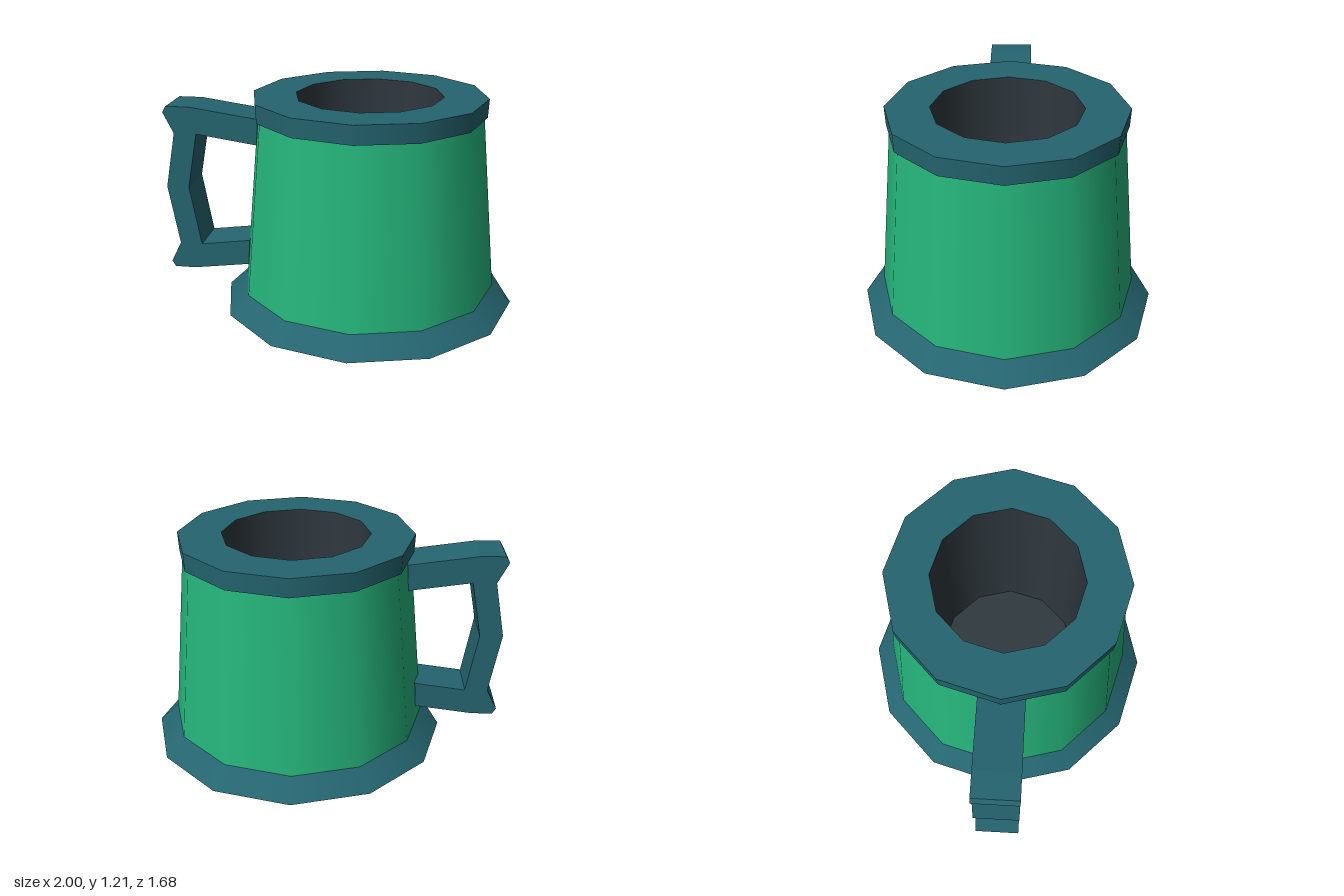
import * as THREE from 'three';

const SIDES = 12;
const CENTRE_X = 0.16;

export function createModel() {
  const group = new THREE.Group();
  const material = (name, color) => {
    const m = new THREE.MeshStandardMaterial({ color });
    m.name = name;
    return m;
  };
  const green = material('green', 0x26b57c);
  const teal = material('teal', 0x256570);
  const dark = material('dark slate', 0x30393f);

  // One band of the mug between two [radius, height] points, smooth around, sharp at its edges
  const band = (name, from, to, mat) => {
    const points = [from, to].map(([r, y]) => new THREE.Vector2(r, y));
    const mesh = new THREE.Mesh(new THREE.LatheGeometry(points, SIDES), mat);
    mesh.name = name;
    mesh.position.x = CENTRE_X;
    group.add(mesh);
  };

  // Mug, following the profile from the underside up, over the rim and down inside
  band('underside', [0, 0], [0.84, 0], dark);
  band('foot', [0.84, 0], [0.73, 0.105], teal);
  band('body', [0.73, 0.105], [0.635, 1.1], green);
  band('rimUnderside', [0.63, 1.1], [0.652, 1.1], dark);
  band('rimSide', [0.652, 1.1], [0.657, 1.205], teal);
  band('rimTop', [0.657, 1.205], [0.413, 1.205], teal);
  band('innerWall', [0.413, 1.205], [0.413, 0.1], dark);
  band('innerFloor', [0.413, 0.1], [0, 0.1], dark);

  // Angular handle, a flat outline extruded across z
  const outline = [
    [-0.45, 1.07], [-0.84, 1.125], [-0.98, 1.125], [-1, 1.09],
    [-0.94, 0.97], [-1, 0.65], [-0.94, 0.3], [-1, 0.18],
    [-0.98, 0.145], [-0.86, 0.145], [-0.53, 0.19], [-0.52, 0.34],
    [-0.81, 0.3], [-0.87, 0.65], [-0.81, 0.97], [-0.46, 0.92],
  ].map(([x, y]) => new THREE.Vector2(x, y));
  const handleGeometry = new THREE.ExtrudeGeometry(new THREE.Shape(outline), {
    depth: 0.25,
    bevelEnabled: false,
  });
  handleGeometry.translate(0, 0, -0.125);
  const handle = new THREE.Mesh(handleGeometry, teal);
  handle.name = 'handle';
  group.add(handle);

  return group;
}
